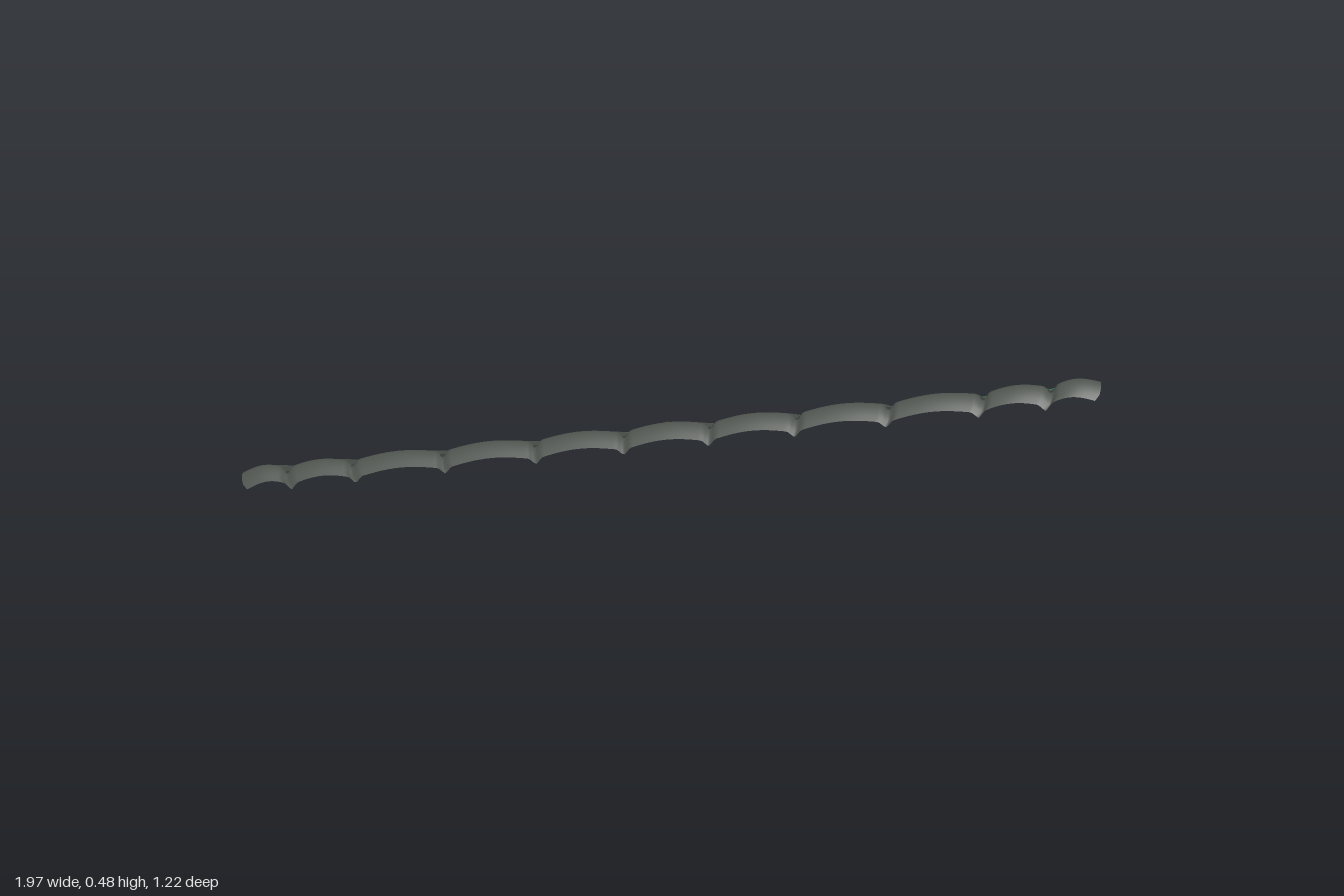
import * as THREE from 'three';

// Panel frame: back corner, long side, short side and upward normal
const A = new THREE.Vector3(-0.99, 0.008, 0.235);
const U = new THREE.Vector3(1.83, 0.32, -0.855);
const V = new THREE.Vector3(0.15, 0.162, 0.375);
const N = new THREE.Vector3().crossVectors(V, U).normalize();

const SEAMS = [0.055, 0.135, 0.245, 0.355, 0.46, 0.56, 0.66, 0.765, 0.87, 0.945];
const LENGTH = 2.05, WIDTH = 0.44;
const NU = 360, NV = 64;

const clamp = THREE.MathUtils.clamp;
const seamDistance = (s) => Math.min(...SEAMS.map((q) => Math.abs(s - q)));

// Height of the sheet: bays bulge between pressed seams, front lip curls down
function height(s, t) {
  const stops = [0, ...SEAMS, 1];
  const k = Math.min(stops.findIndex((q, i) => s <= stops[i + 1]), stops.length - 2);
  const f = (s - stops[k]) / (stops[k + 1] - stops[k]);
  const bulge = 0.014 * Math.sin(Math.PI * clamp(f, 0, 1)) * (0.25 + 0.75 * t);
  const groove = 0.012 * Math.max(0, 1 - seamDistance(s) / 0.008) * clamp((t - 0.1) * 6, 0, 1);
  const lip = 0.042 * Math.pow(clamp((t - 0.92) / 0.08, 0, 1), 1.6);
  const backRoll = 0.01 * Math.pow(clamp(1 - t / 0.07, 0, 1), 2);
  return bulge - groove - lip - backRoll;
}

// Point on the sheet, with rounded corners and slightly bowed ends
function place(s, t, lift = 0) {
  const round = (d, r) => (d < r ? 1 - Math.sqrt(1 - ((r - d) / r) ** 2) : 0);
  const inset = 0.024 * round(t, 0.12) + 0.008 * round(1 - t, 0.06) - 0.006 * Math.sin(Math.PI * t);
  const x = inset + s * (1 - 2 * inset);
  return A.clone().addScaledVector(U, x).addScaledVector(V, t)
    .addScaledVector(N, height(s, t) + lift);
}

// Which painted part a spot on the sheet belongs to
function partAt(s, t) {
  const end = Math.min(s, 1 - s);
  for (const q of [0.34, 0.63]) {
    if (Math.hypot(end * LENGTH, (t - q) * WIDTH) < 0.028) return 'endSpots';
  }
  if (t < 0.075 && end > 0.04 && Math.abs(s - 0.56) > 0.008) return 'tanEdge';
  const d = seamDistance(s);
  // green end patches
  if (((end - 0.004) / 0.027) ** 2 + ((t - 0.35) / 0.27) ** 2 < 1 && t > 0.12) return 'greenPaint';
  // green band, wider beside the middle, notched at the seams
  const wide = s > 0.25 && s < 0.44 ? 0.31 : 0.225;
  const scallop = wide - 0.08 * Math.max(0, 1 - d / 0.014) - 0.08 * Math.max(0, 1 - (end - 0.03) / 0.02);
  if (end > 0.03 && t >= 0.075 && t < scallop) return 'greenPaint';
  // central green tongue with rounded corners
  const dx = Math.max(0, Math.abs(s - 0.492) - 0.03) / 0.02;
  const dy = Math.max(0, t - 0.5) / 0.11;
  if (t >= 0.075 && dx * dx + dy * dy < 1) return 'greenPaint';
  if (d < 0.003 && t < 0.93) return 'seamLines';
  return 'greyPanel';
}

export function createModel() {
  const group = new THREE.Group();
  const material = (name, color) => {
    const m = new THREE.MeshStandardMaterial({ color, side: THREE.DoubleSide });
    m.name = name;
    return m;
  };
  const materials = {
    greyPanel: material('slate grey', 0x4e534e),
    seamLines: material('dark grey', 0x3d403d),
    greenPaint: material('green', 0x417f56),
    tanEdge: material('tan', 0x967f69),
    endSpots: material('pale grey', 0xa8a49c),
  };

  // Sheet grid, sorted into its painted parts
  const positions = [];
  const indices = { greyPanel: [], seamLines: [], greenPaint: [], tanEdge: [], endSpots: [] };
  const all = [];
  for (let i = 0; i <= NU; i++) {
    for (let j = 0; j <= NV; j++) positions.push(...place(i / NU, j / NV).toArray());
  }
  for (let i = 0; i < NU; i++) {
    for (let j = 0; j < NV; j++) {
      const a = i * (NV + 1) + j, b = a + NV + 1;
      const quad = [a, a + 1, b, b, a + 1, b + 1];
      all.push(...quad);
      indices[partAt((i + 0.5) / NU, (j + 0.5) / NV)].push(...quad);
    }
  }
  const sheet = new THREE.BufferGeometry();
  sheet.setAttribute('position', new THREE.Float32BufferAttribute(positions, 3));
  sheet.setIndex(all);
  sheet.computeVertexNormals();
  for (const [name, index] of Object.entries(indices)) {
    const geometry = new THREE.BufferGeometry();
    geometry.setAttribute('position', sheet.attributes.position);
    geometry.setAttribute('normal', sheet.attributes.normal);
    geometry.setIndex(index);
    const mesh = new THREE.Mesh(geometry, materials[name]);
    mesh.name = name;
    group.add(mesh);
  }

  // Small fittings: clip on the back edge and a fastener in the middle
  const basis = new THREE.Matrix4().makeBasis(U.clone().normalize(), N, V.clone().normalize().negate());
  const fit = (name, geometry, s, t) => {
    const mesh = new THREE.Mesh(geometry, materials.seamLines);
    mesh.name = name;
    mesh.quaternion.setFromRotationMatrix(basis);
    mesh.position.copy(place(s, t, 0.003));
    group.add(mesh);
  };
  fit('edgeClip', new THREE.BoxGeometry(0.03, 0.014, 0.045), 0.56, 0.04);
  fit('fastener', new THREE.CylinderGeometry(0.011, 0.011, 0.008, 12), 0.495, 0.49);

  return group;
}
